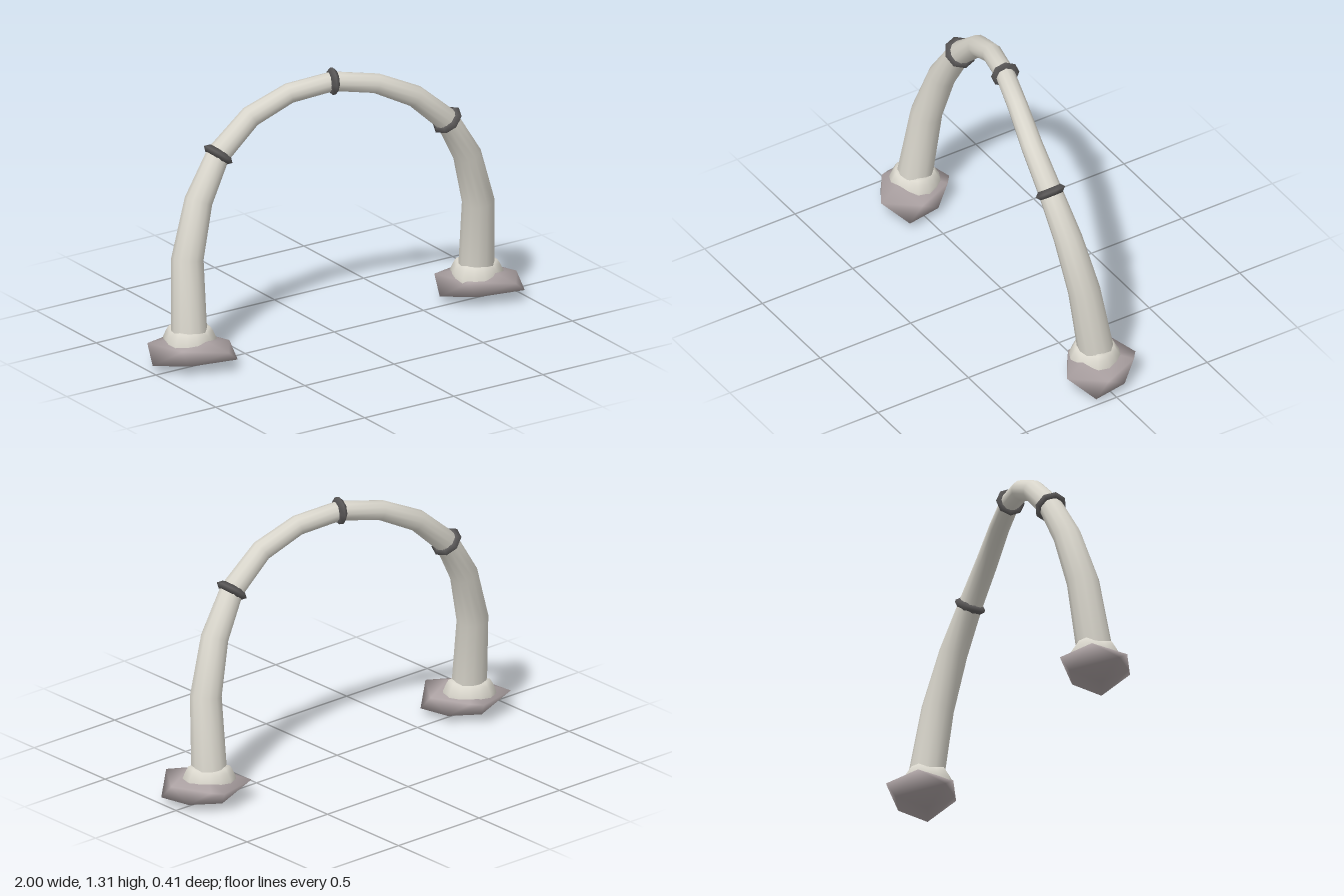
import * as THREE from 'three';
import { ConvexGeometry } from 'three/addons/geometries/ConvexGeometry.js';
import { mergeVertices } from 'three/addons/utils/BufferGeometryUtils.js';

const V = (x, y, z) => new THREE.Vector3(x, y, z);
const mat = (color) => new THREE.MeshStandardMaterial({ color, side: THREE.DoubleSide });

// Joins equal-length closed loops of points into a smooth skin.
function skin(loops) {
  const n = loops[0].length, index = [];
  for (let i = 0; i < loops.length - 1; i++) {
    for (let j = 0; j < n; j++) {
      const a = i * n + j, b = i * n + (j + 1) % n;
      index.push(a, b, a + n, b, b + n, a + n);
    }
  }
  const g = new THREE.BufferGeometry().setFromPoints(loops.flat());
  g.setIndex(index);
  g.computeVertexNormals();
  return g;
}

// One rough boulder, used under both feet.
function rockGeometry() {
  const corners = [
    [0, 0, 0],
    [-0.2, 0.04, -0.02], [-0.08, 0.05, 0.1], [0.19, 0.03, 0.11], [0.17, 0.04, -0.06], [0.04, 0.04, -0.15],
    [-0.15, 0.105, -0.14], [-0.1, 0.12, 0.08], [0.08, 0.115, 0.2], [0.19, 0.105, 0.04],
    [0.11, 0.11, -0.15], [0.06, 0.105, -0.19],
    [-0.06, 0.135, -0.05], [0.04, 0.14, 0.09], [0.06, 0.135, -0.08],
  ].map((c) => V(...c));
  let g = new ConvexGeometry(corners);
  g.deleteAttribute('normal');
  g = mergeVertices(g, 1e-4);
  g.computeVertexNormals();
  return g;
}

// Lumpy swelling where the tube meets the rock.
function collarGeometry() {
  const sides = 14;
  const profile = [[0.122, 0.1], [0.12, 0.128], [0.105, 0.155], [0.092, 0.176], [0.07, 0.178]];
  return skin(profile.map(([r, y], k) => Array.from({ length: sides }, (_, j) => {
    const a = -j / sides * Math.PI * 2;
    const lump = 0.006 * Math.sin(3 * a + 1) + 0.004 * Math.sin(5 * a);
    return V((r + lump) * Math.cos(a), y + (k > 1 ? lump * 0.9 : 0), (r + lump) * Math.sin(a));
  })));
}

export function createModel() {
  const group = new THREE.Group();
  const pale = mat(0xd8d5cb), stone = mat(0xaba1a2), dark = mat(0x5c5a5a);
  const add = (name, geometry, material) => {
    const m = new THREE.Mesh(geometry, material);
    m.name = name;
    group.add(m);
    return m;
  };

  // Half of the S-curved arch, foot to crown: x, y, z, radius.
  const half = [
    [0.8, 0.1, 0.01, 0.086], [0.797, 0.18, 0.014, 0.084], [0.775, 0.505, 0.06, 0.076],
    [0.69, 0.765, 0.094, 0.067], [0.567, 0.965, 0.113, 0.057],
    [0.392, 1.12, 0.103, 0.052], [0.205, 1.21, 0.06, 0.048],
  ];
  const cx = 0.005, cz = -0.02;
  const stations = [
    ...half.map(([x, y, z, r]) => ({ p: V(cx - x, y, cz - z), r })),
    { p: V(cx, 1.245, cz), r: 0.047 },
    ...half.slice().reverse().map(([x, y, z, r]) => ({ p: V(cx + x, y, cz + z), r })),
  ];
  const last = stations.length - 1;
  const tangent = (i) => stations[Math.min(i + 1, last)].p.clone()
    .sub(stations[Math.max(i - 1, 0)].p).normalize();

  // Tapered tube skinned over the stations.
  const sides = 12;
  add('archTube', skin(stations.map(({ p, r }, i) => {
    const t = tangent(i);
    const u = V(0, 0, 1).cross(t).normalize();
    const v = t.clone().cross(u);
    return Array.from({ length: sides }, (_, j) => {
      const a = j / sides * Math.PI * 2;
      return p.clone().addScaledVector(u, r * Math.cos(a)).addScaledVector(v, r * Math.sin(a));
    });
  })), pale);

  // Diamond-section bands at the haunches and crown.
  [['rightBand', 4], ['crownBand', 7], ['leftBand', 10]].forEach(([name, i]) => {
    const band = add(name, new THREE.TorusGeometry(stations[i].r + 0.002, 0.02, 4, 8), dark);
    band.position.copy(stations[i].p);
    band.quaternion.setFromUnitVectors(V(0, 0, 1), tangent(i));
  });

  // Feet.
  const rock = rockGeometry(), collar = collarGeometry();
  [['right', -1], ['left', 1]].forEach(([side, s]) => {
    add(side + 'Rock', rock, stone).position.x = s * 0.805;
    add(side + 'Collar', collar, pale).position.set(cx + s * 0.797, 0, cz + s * 0.012);
  });
  return group;
}
